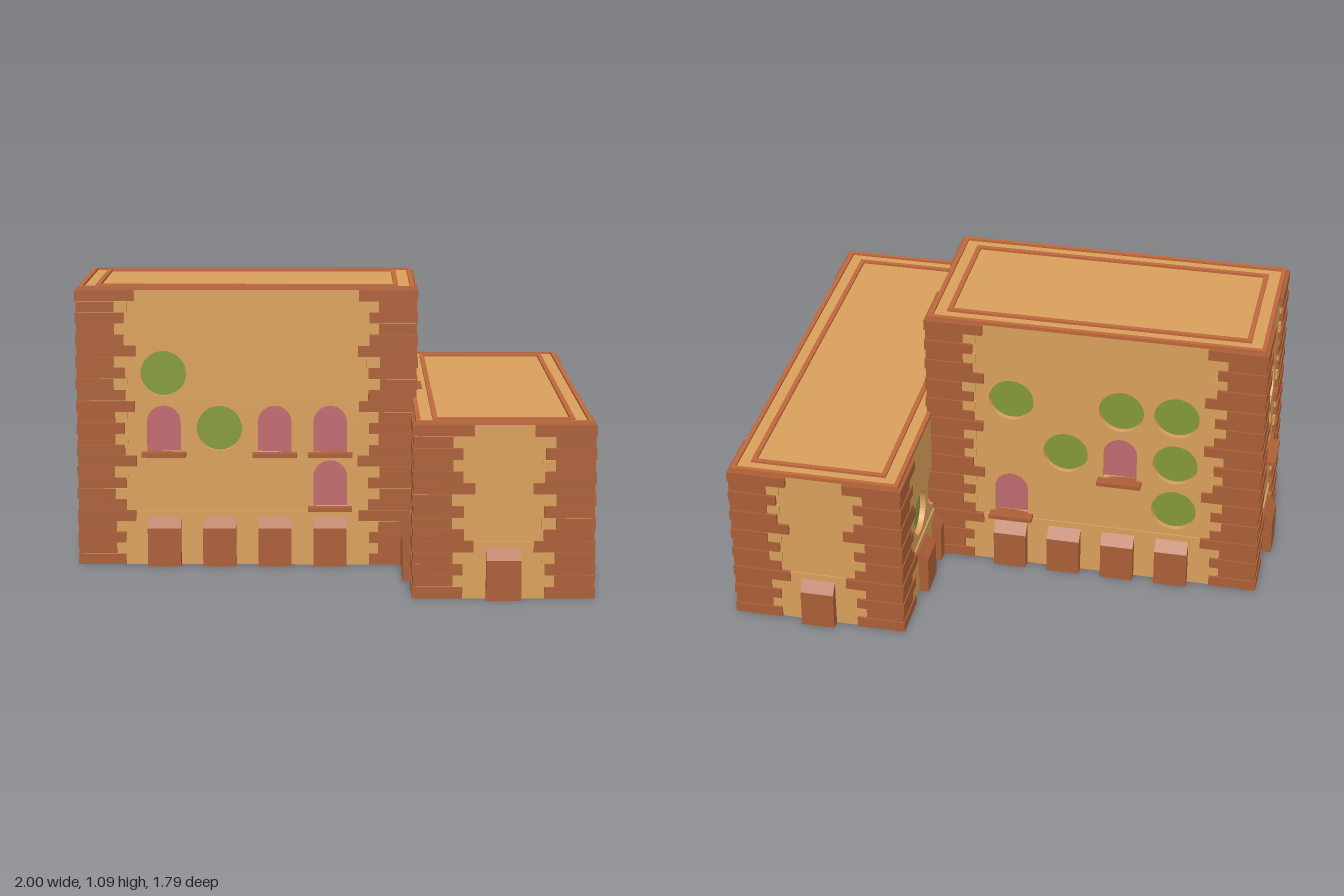
import * as THREE from 'three';

const mat = (color) => new THREE.MeshStandardMaterial({ color });
const sand = mat(0xd9a05b), brick = mat(0xab5f36), trim = mat(0xbe683c);
const leaf = mat(0x84993a), rose = mat(0xc06a6e);

const U = 0.2133; // wall bay
const ROW = U / 5; // brick course

function add(parent, name, geometry, material, x = 0, y = 0, z = 0) {
  const mesh = new THREE.Mesh(geometry, material);
  mesh.name = name;
  mesh.position.set(x, y, z);
  parent.add(mesh);
  return mesh;
}

function box(parent, name, material, w, h, d, x, y, z) {
  return add(parent, name, new THREE.BoxGeometry(w, h, d), material, x, y, z);
}

// Arched opening, y is its base
function arch(PathType, x, y) {
  const r = 0.065;
  const p = new PathType();
  p.moveTo(x - r, y);
  p.lineTo(x + r, y);
  p.lineTo(x + r, y + 0.115);
  p.absarc(x, y + 0.115, r, 0, Math.PI, false);
  p.lineTo(x - r, y);
  return p;
}

// Round opening, y is its centre
function round(PathType, x, y) {
  const p = new PathType();
  p.absarc(x, y, 0.087, 0, Math.PI * 2, false);
  return p;
}

function rect(w, h, PathType = THREE.Shape) {
  const p = new PathType();
  p.moveTo(-w / 2, -h / 2);
  p.lineTo(w / 2, -h / 2);
  p.lineTo(w / 2, h / 2);
  p.lineTo(-w / 2, h / 2);
  p.closePath();
  return p;
}

// One wall, outer face on z = 0, running along x
function createWall(name, length, height, { arches = [], rounds = [], buttresses = [] }) {
  const wall = new THREE.Group();
  wall.name = name;

  const panel = new THREE.Shape();
  panel.moveTo(-length / 2, 0);
  panel.lineTo(length / 2, 0);
  panel.lineTo(length / 2, height);
  panel.lineTo(-length / 2, height);
  panel.closePath();
  for (const [x, y] of arches) panel.holes.push(arch(THREE.Path, x, y));
  for (const [x, y] of rounds) panel.holes.push(round(THREE.Path, x, y));
  add(wall, 'wallPanel', new THREE.ExtrudeGeometry(panel, { depth: 0.03, bevelEnabled: false, curveSegments: 24 }), sand, 0, 0, -0.03);

  // Recessed panes and sills
  for (const [x, y] of arches) {
    add(wall, 'archedWindow', new THREE.ShapeGeometry(arch(THREE.Shape, x, y), 24), rose, 0, 0, -0.022);
    box(wall, 'windowSill', brick, 0.17, 0.016, 0.06, x, y - 0.008, 0.01);
  }
  for (const [x, y] of rounds) {
    add(wall, 'roundWindow', new THREE.ShapeGeometry(round(THREE.Shape, x, y), 24), leaf, 0, 0, -0.022);
  }

  // Slightly thicker base course and sloping buttresses
  box(wall, 'baseCourse', sand, length, U, 0.006, 0, U / 2, 0.003);
  const side = new THREE.Shape([[0, 0], [0.043, 0], [0.043, 0.15], [0, 0.195]].map(([a, b]) => new THREE.Vector2(a, b)));
  const geometry = new THREE.ExtrudeGeometry(side, { depth: 0.128, bevelEnabled: false });
  geometry.translate(0, 0, -0.064);
  geometry.rotateY(-Math.PI / 2);
  for (const x of buttresses) add(wall, 'buttress', geometry, brick, x, 0, 0);
  return wall;
}

// Raised frame lying flat
function createFrame(parent, name, w, d, thick, y, h) {
  const shape = rect(w, d);
  shape.holes.push(rect(w - 2 * thick, d - 2 * thick, THREE.Path));
  const g = new THREE.ExtrudeGeometry(shape, { depth: h, bevelEnabled: false });
  g.rotateX(-Math.PI / 2);
  add(parent, name, g, trim, 0, y, 0);
}

// Corner brickwork with uneven course lengths
function createQuoins(parent, w, d, height) {
  const reach = [0.185, 0.145, 0.185, 0.145, 0.225];
  const rows = Math.round(height / ROW);
  const h = height / rows;
  for (const sx of [-1, 1]) for (const sz of [-1, 1]) {
    const corner = new THREE.Group();
    corner.name = 'cornerBricks';
    for (let i = 0; i < rows; i++) {
      const size = reach[i % 5];
      const out = i % 2 ? 0.011 : 0.015;
      const y = (i + 0.5) * h + 0.001;
      const place = (s, o) => [sx * (w / 2 + o - s / 2), y, sz * (d / 2 + o - s / 2)];
      box(corner, 'cornerBrick', brick, size, h - 0.002, size, ...place(size, out));
      // Pale filler bricks beside the short courses
      if (size < 0.15) box(corner, 'fillerBrick', sand, 0.19, h - 0.002, 0.19, ...place(0.19, 0.008));
    }
    parent.add(corner);
  }
}

function createBlock(name, w, d, height, sides) {
  const block = new THREE.Group();
  block.name = name;
  const body = height - 0.015;
  box(block, 'core', sand, w - 0.06, body, d - 0.06, 0, body / 2, 0);

  const walls = [
    ['frontWall', w, 0, 0, d / 2, 0],
    ['leftWall', d, Math.PI / 2, w / 2, 0, 1],
    ['backWall', w, Math.PI, 0, -d / 2, 2],
    ['rightWall', d, -Math.PI / 2, -w / 2, 0, 3],
  ];
  for (const [wallName, length, turn, x, z, i] of walls) {
    const wall = createWall(wallName, length, body, sides[i]);
    wall.rotation.y = turn;
    wall.position.set(x, 0, z);
    block.add(wall);
  }
  createQuoins(block, w, d, body);

  // Roof deck with outer and inner curbs
  box(block, 'roofDeck', sand, w - 0.02, 0.008, d - 0.02, 0, body + 0.002, 0);
  createFrame(block, 'outerCurb', w + 0.004, d + 0.004, 0.017, body, 0.015);
  createFrame(block, 'innerCurb', w - 0.12, d - 0.12, 0.018, body, 0.015);
  return block;
}

export function createModel() {
  const model = new THREE.Group();
  model.name = 'building';
  const low = 0.23, mid = 0.443, r1 = 0.325, r2 = 0.535, r3 = 0.748;

  // Tall block: bays along x are offsets from its own centre
  const a = -1.5 * U, b = -0.5 * U, c = 0.5 * U, e = 1.5 * U;
  const tall = createBlock('tallBlock', 6 * U, 3 * U, 1.085, [
    { arches: [[a, mid], [c, mid], [e, mid], [e, low]], rounds: [[a, r3], [b, r2]], buttresses: [a, b, c, e] },
    { arches: [[0, 0.655]] },
    { arches: [[a, low], [c, mid]], rounds: [[a, r3], [b, r2], [c, r3], [e, r3], [e, r2], [e, r1]], buttresses: [a, b, c, e] },
    { arches: [[0, mid]], rounds: [[0, r3]], buttresses: [0] },
  ]);
  tall.position.x = -0.32;

  // Low block
  const long = [-2.5, -1.5, -0.5, 0.5, 1.5, 2.5].map((n) => n * U);
  const ends = [-2.5, -1.5, 1.5, 2.5].map((n) => n * U);
  const lowBlock = createBlock('lowBlock', 3 * U, 8 * U, 0.66, [
    { buttresses: [0] },
    { rounds: [[b, r1], [c, r1]], buttresses: long },
    { buttresses: [0] },
    { rounds: ends.map((x) => [x, r1]), buttresses: ends },
  ]);
  lowBlock.position.x = 0.636;

  model.add(tall, lowBlock);
  return model;
}
